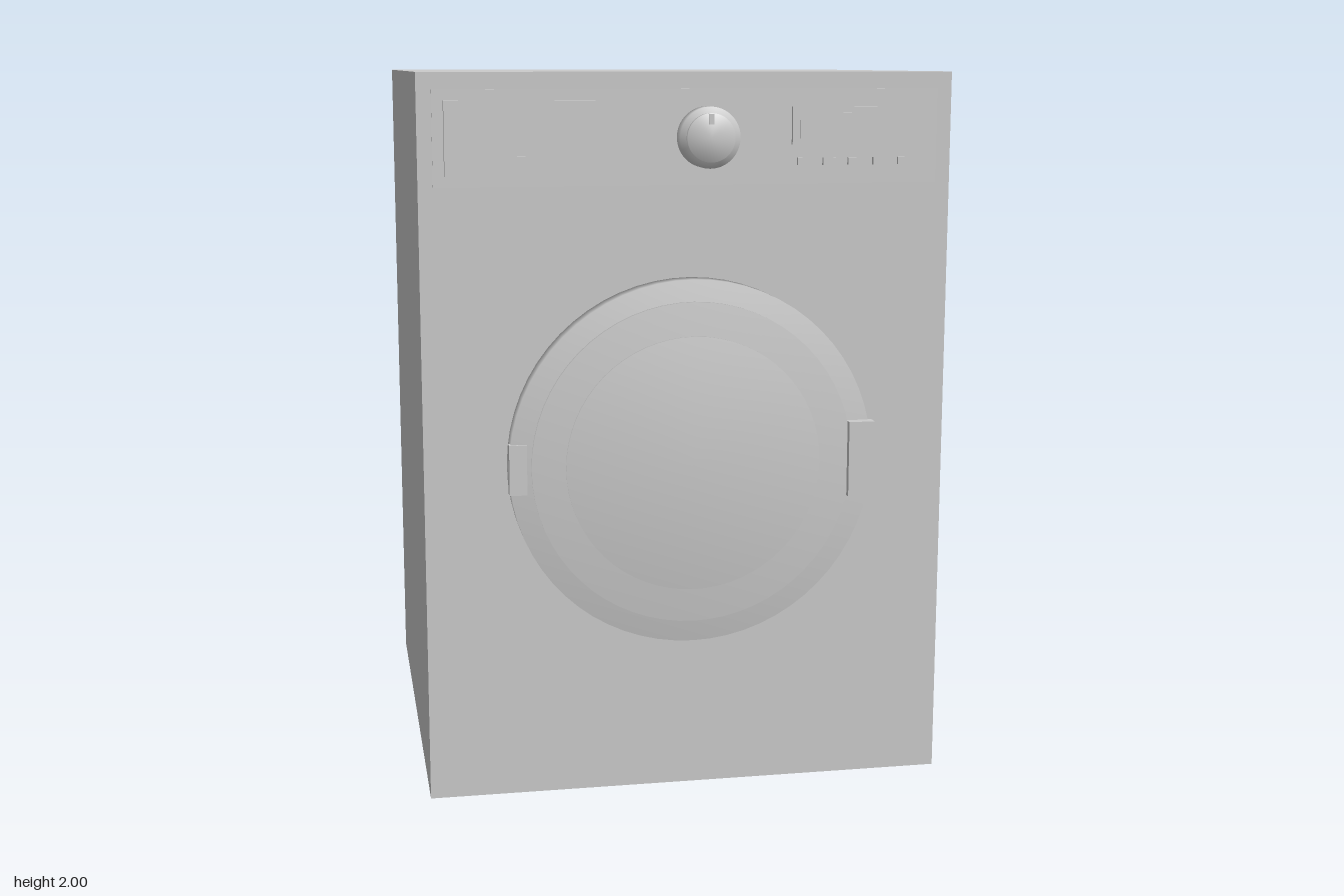
import * as THREE from 'three';
import { mergeVertices } from 'three/addons/utils/BufferGeometryUtils.js';

const FRONT = 0.66; // z of the cabinet's front face

export function createModel() {
  const model = new THREE.Group();
  const grey = new THREE.MeshStandardMaterial({ color: 0xcccccc });

  const add = (name, geometry) => {
    const mesh = new THREE.Mesh(geometry, grey);
    mesh.name = name;
    model.add(mesh);
    return mesh;
  };

  // Box given by its limits on each axis
  const box = (name, x0, x1, y0, y1, z0, z1) =>
    add(name, new THREE.BoxGeometry(x1 - x0, y1 - y0, z1 - z0))
      .position.set((x0 + x1) / 2, (y0 + y1) / 2, (z0 + z1) / 2);

  // Disc facing the front, with normals shared between rim and face
  const disc = (name, x, y, radius, z0, z1) => {
    let geometry = new THREE.CylinderGeometry(radius, radius, z1 - z0, 64);
    geometry.deleteAttribute('normal');
    geometry.deleteAttribute('uv');
    geometry = mergeVertices(geometry);
    geometry.computeVertexNormals();
    geometry.rotateX(Math.PI / 2);
    add(name, geometry).position.set(x, y, (z0 + z1) / 2);
  };

  // Cabinet and control panel
  box('cabinet', -0.73, 0.73, 0.002, 2, -0.75, FRONT);
  box('controlPanel', -0.69, 0.69, 1.7, 1.955, FRONT - 0.01, FRONT + 0.004);

  // Detergent drawer with its grip
  box('drawer', -0.66, -0.237, 1.728, 1.926, FRONT, 0.683);
  box('drawerGrip', -0.55, -0.36, 1.742, 1.78, FRONT, 0.687);

  // Programme dial
  disc('dialBase', 0.045, 1.827, 0.082, FRONT, 0.712);
  disc('dialCap', 0.045, 1.827, 0.065, 0.705, 0.727);
  box('dialPointer', 0.039, 0.051, 1.862, 1.89, 0.72, 0.731);

  // Display and the row of buttons below it
  box('display', 0.28, 0.562, 1.805, 1.907, FRONT, 0.675);
  box('displayScreen', 0.3, 0.52, 1.822, 1.89, FRONT, 0.679);
  for (let i = 0; i < 5; i++) {
    const x = 0.296 + i * 0.0705;
    const width = i < 4 ? 0.038 : 0.018;
    box('button', x, x + width, 1.75, 1.77, FRONT, 0.675);
  }

  // Round door: outer ring, inner ring and glass
  const doorY = 0.945;
  disc('doorRing', 0, doorY, 0.505, FRONT, 0.72);
  disc('doorInnerRing', 0, doorY, 0.445, 0.7, 0.731);
  disc('doorGlass', 0, doorY, 0.352, 0.71, 0.739);
  box('doorHandle', 0.433, 0.505, 0.84, 1.05, 0.715, 0.75);
  box('doorHinge', -0.505, -0.457, 0.875, 1.013, 0.7, 0.727);

  // Feet set nearly flush into the underside
  for (const x of [-0.575, 0.575]) {
    for (const z of [-0.62, 0.52]) {
      add('foot', new THREE.CylinderGeometry(0.045, 0.045, 0.03, 32)).position.set(x, 0.015, z);
    }
  }

  return model;
}
